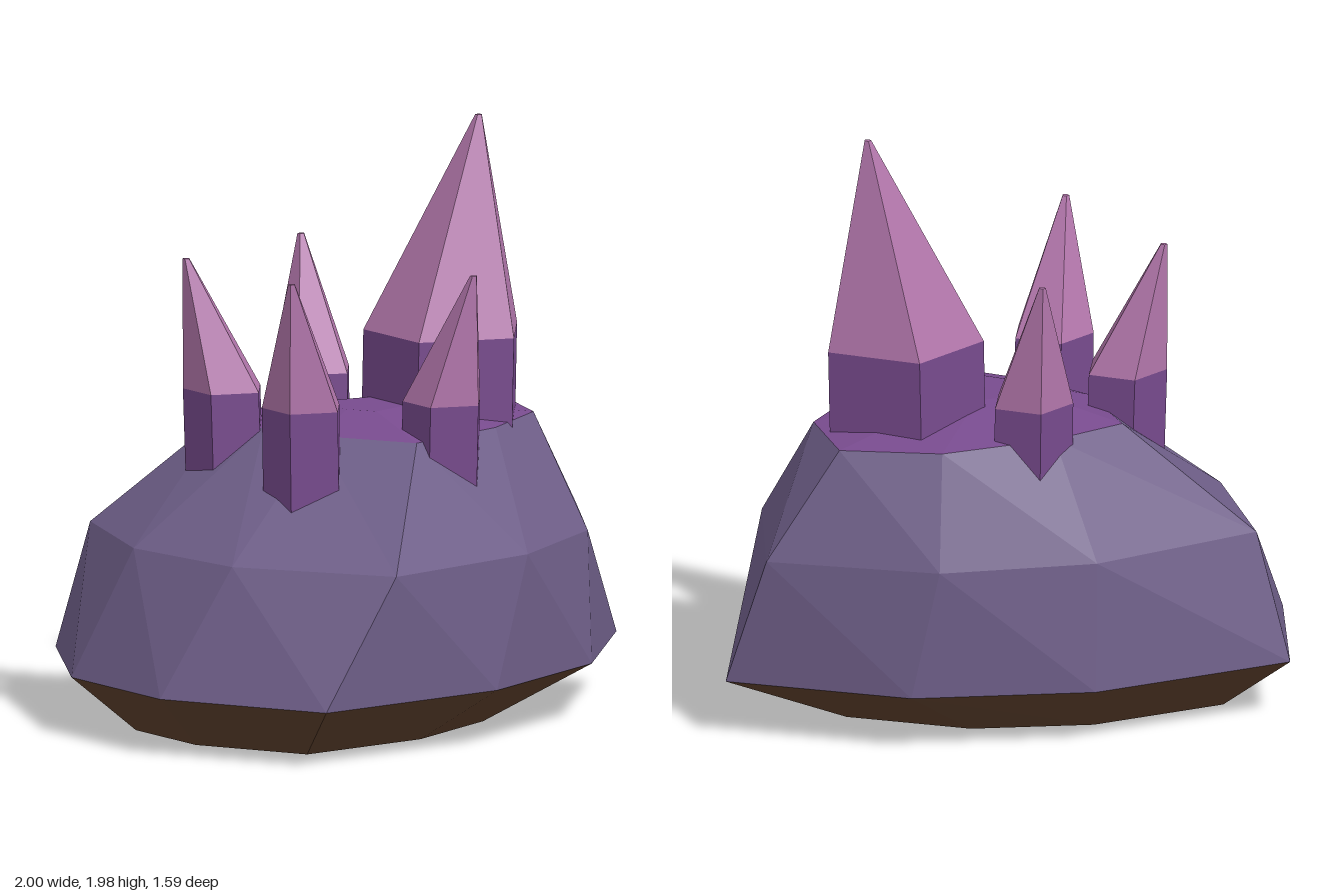
import * as THREE from 'three';

const flat = (name, color) => {
  const m = new THREE.MeshStandardMaterial({ color, flatShading: true });
  m.name = name;
  return m;
};

// Skin a stack of rings (arrays of Vector3, bottom to top), optionally closing the ends
function loft(rings, closeBottom, closeTop) {
  const pos = [];
  const tri = (...pts) => pts.forEach((p) => pos.push(p.x, p.y, p.z));
  const n = rings[0].length;
  const middle = (ring) => ring.reduce((s, p) => s.add(p), new THREE.Vector3()).divideScalar(n);
  const first = rings[0], last = rings[rings.length - 1];
  const low = middle(first), high = middle(last);
  for (let i = 0; i < n; i++) {
    const j = (i + 1) % n;
    for (let k = 0; k < rings.length - 1; k++) {
      const a = rings[k], b = rings[k + 1];
      tri(a[i], b[i], b[j]);
      tri(a[i], b[j], a[j]);
    }
    if (closeBottom) tri(low, first[i], first[j]);
    if (closeTop) tri(high, last[j], last[i]);
  }
  const g = new THREE.BufferGeometry();
  g.setAttribute('position', new THREE.Float32BufferAttribute(pos, 3));
  g.computeVertexNormals();
  return g;
}

const ringAt = (pts, y) => pts.map(([x, z]) => new THREE.Vector3(x, y, z));
const pentagon = (x, z, r, y) => Array.from({ length: 5 }, (_, i) => {
  const a = (i * Math.PI * 2) / 5;
  return new THREE.Vector3(x + r * Math.cos(a), y, z + r * Math.sin(a));
});

export function createModel() {
  const model = new THREE.Group();
  model.name = 'crystalShell';
  const rock = flat('rock purple', 0x6f5f89);
  const earth = flat('earth brown', 0x5f412d);
  const violet = flat('crystal violet', 0x784b8e);
  const pink = flat('crystal pink', 0xb377ac);

  const add = (parent, name, geometry, material) => {
    const mesh = new THREE.Mesh(geometry, material);
    mesh.name = name;
    parent.add(mesh);
  };

  // Nine-sided shell outlines, twisting a little toward the top
  const rim = [[1, 0], [0.575, 0.48], [0.02, 0.74], [-0.7, 0.795], [-1, 0.26],
    [-1, -0.26], [-0.7, -0.795], [0.02, -0.74], [0.575, -0.48]];
  const waist = [[0.91, -0.11], [0.62, 0.39], [0.19, 0.67], [-0.42, 0.795], [-0.76, 0.33],
    [-0.82, -0.16], [-0.64, -0.68], [-0.01, -0.7], [0.49, -0.52]];
  const crown = [[0.67, -0.18], [0.58, 0.13], [0.3, 0.32], [-0.09, 0.43], [-0.28, 0.13],
    [-0.35, -0.09], [-0.28, -0.42], [0, -0.45], [0.4, -0.39]];
  const foot = rim.map(([x, z]) => [x * 0.665 - 0.115, z * 0.675 - 0.03]);
  const peak = crown.map(([x, z]) => [x * 0.3 - 0.02, z * 0.3]);

  const footRing = ringAt(foot, 0), rimRing = ringAt(rim, 0.19);
  const crownRing = ringAt(crown, 0.985);
  add(model, 'underside', loft([footRing], true, false), rock);
  add(model, 'lowerSkirt', loft([footRing, rimRing], false, false), earth);
  add(model, 'shell', loft([rimRing, ringAt(waist, 0.62), crownRing], false, false), rock);
  add(model, 'topPatch', loft([crownRing, ringAt(peak, 1.045)], false, true), violet);

  // Five-sided crystal: violet prism with a pink, leaning point
  function crystal(name, x, z, r, bottom, shoulder, tip) {
    const group = new THREE.Group();
    group.name = name;
    const base = pentagon(x * 0.97, z * 0.97, r, bottom);
    const neck = pentagon(x, z, r, shoulder);
    add(group, 'crystalBase', loft([base, neck], true, false), violet);
    add(group, 'crystalPoint', loft([neck, pentagon(tip[0], tip[2], 0.012, tip[1])], false, true), pink);
    model.add(group);
  }

  crystal('mainCrystal', 0.325, 0, 0.278, 0.85, 1.265, [0.45, 1.975, 0]);
  for (const s of [1, -1]) {
    const side = s > 0 ? 'Right' : 'Left';
    crystal('middleCrystal' + side, 0.053, 0.385 * s, 0.14, 0.7, 1.105, [0.085, 1.54, 0.507 * s]);
    crystal('rearCrystal' + side, -0.405, 0.232 * s, 0.14, 0.65, 1.105, [-0.508, 1.54, 0.31 * s]);
  }
  return model;
}
